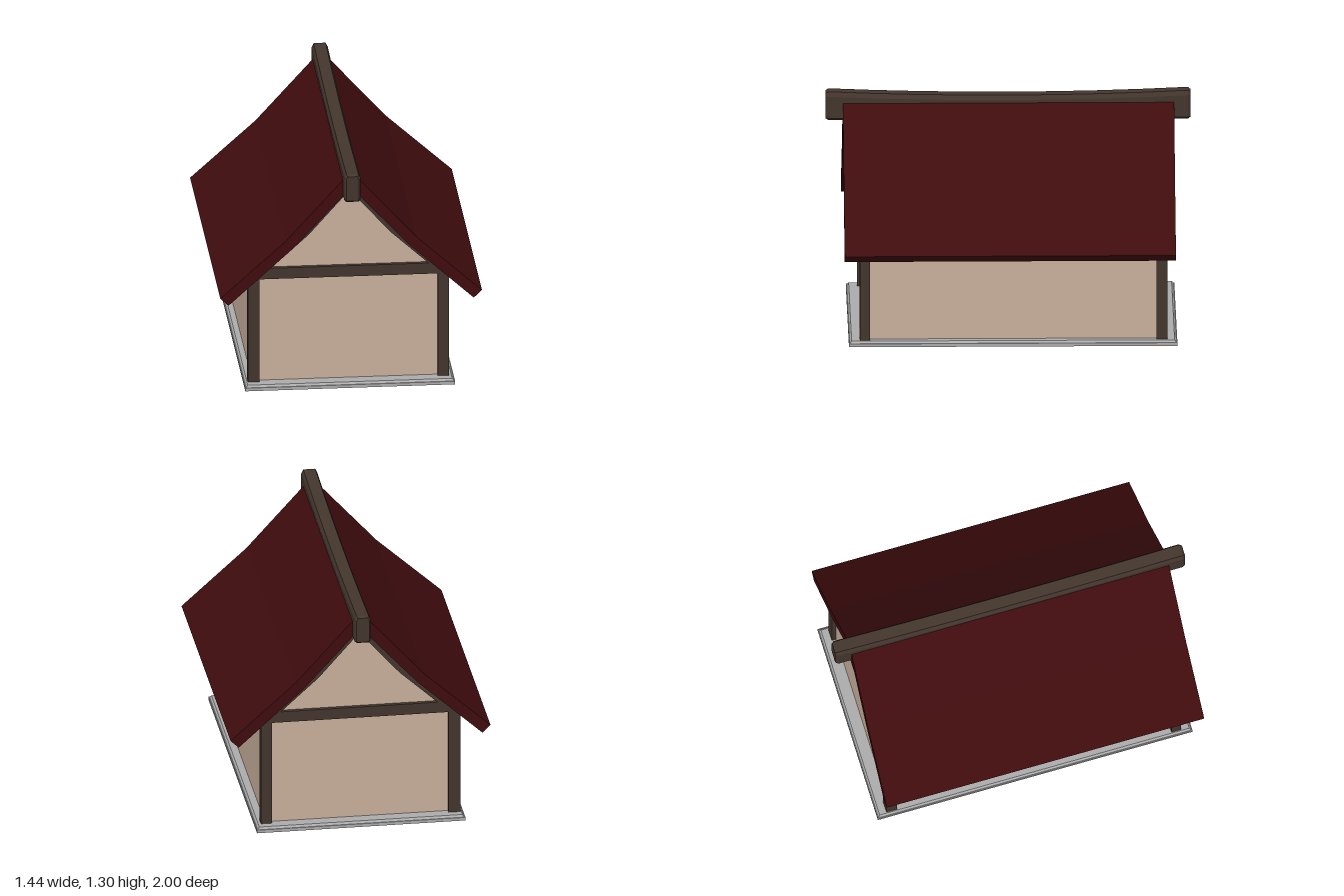
import * as THREE from 'three';

const mat = (name, color) => {
  const m = new THREE.MeshStandardMaterial({ color });
  m.name = name;
  return m;
};

export function createModel() {
  const house = new THREE.Group();
  house.name = 'house';
  const plaster = mat('plaster', 0xc9b09d);
  const timber = mat('dark timber', 0x43362d);
  const roofing = mat('dark red roofing', 0x400c0e);
  const stone = mat('grey stone', 0xacacac);

  const add = (name, geometry, material) => {
    const mesh = new THREE.Mesh(geometry, material);
    mesh.name = name;
    house.add(mesh);
    return mesh;
  };
  // Box given by its limits on each axis
  const box = (name, material, x0, x1, y0, y1, z0, z1) => {
    const g = new THREE.BoxGeometry(x1 - x0, y1 - y0, z1 - z0);
    g.translate((x0 + x1) / 2, (y0 + y1) / 2, (z0 + z1) / 2);
    return add(name, g, material);
  };
  // Front profile swept from z0 to z1
  const sweep = (name, material, points, z0, z1) => {
    const shape = new THREE.Shape(points.map(([x, y]) => new THREE.Vector2(x, y)));
    const g = new THREE.ExtrudeGeometry(shape, { depth: z1 - z0, bevelEnabled: false });
    g.translate(0, 0, z0);
    return add(name, g, material);
  };
  const mirror = (points) => points.map(([x, y]) => [-x, y]).reverse();

  // Stone base: plinth with a sloped upper edge
  box('basePlinth', stone, -0.58, 0.575, 0, 0.018, -0.92, 0.88);
  const top = new THREE.BoxGeometry(1.145, 0.012, 1.79);
  const tp = top.attributes.position;
  for (let i = 0; i < tp.count; i++) {
    if (tp.getY(i) > 0) {
      tp.setX(i, tp.getX(i) - Math.sign(tp.getX(i)) * 0.01);
      tp.setZ(i, tp.getZ(i) - Math.sign(tp.getZ(i)) * 0.01);
    }
  }
  top.computeVertexNormals();
  top.translate(-0.0025, 0.024, -0.02);
  add('baseTop', top, stone);

  // Plastered walls with both gables
  sweep('walls', plaster, [
    [-0.535, 0.02], [0.52, 0.02], [0.52, 0.65], [0.27, 0.87],
    [0, 1.165], [-0.27, 0.87], [-0.535, 0.64],
  ], -0.84, 0.795);

  // Timber frame at each gable end: posts, cross beam and bent rafters
  const rafter = [
    [0, 1.14], [0.225, 0.885], [0.45, 0.68], [0.545, 0.635],
    [0.315, 0.845], [0, 1.19],
  ].reverse();
  for (const [end, z0, z1] of [['front', 0.765, 0.82], ['back', -0.865, -0.805]]) {
    box(end + 'RightPost', timber, -0.56, -0.495, 0.025, 0.66, z0, z1);
    box(end + 'LeftPost', timber, 0.485, 0.545, 0.025, 0.66, z0, z1);
    box(end + 'Beam', timber, -0.55, 0.54, 0.632, 0.695, z0 + 0.002, z1 - 0.002);
    sweep(end + 'LeftRafter', timber, rafter, z0 + 0.004, z1 - 0.004);
    sweep(end + 'RightRafter', timber, mirror(rafter), z0 + 0.004, z1 - 0.004);
  }

  // Roof: two thick slopes, shallower towards the eaves
  const slope = [[0.045, 1.235], [0.36, 0.885], [0.72, 0.56], [0.675, 0.517], [0.315, 0.845]];
  sweep('roof', roofing, [...slope, [0, 1.19], ...mirror(slope)], -0.91, 0.905);

  // Ridge beam: chamfered bar whose top sags towards the middle
  const w = 0.045, c = 0.012, y0 = 1.137, y1 = 1.3;
  const section = new THREE.Shape([
    [-w + c, y0], [w - c, y0], [w, y0 + c], [w, y1 - 0.025],
    [w - c, y1], [-w + c, y1], [-w, y1 - 0.025], [-w, y0 + c],
  ].map(([x, y]) => new THREE.Vector2(x, y)));
  const ridge = new THREE.ExtrudeGeometry(section, {
    depth: 1.97, steps: 8, bevelEnabled: true, bevelSegments: 1,
    bevelSize: 0.01, bevelOffset: -0.01, bevelThickness: 0.015,
  });
  ridge.translate(0, 0, -0.985);
  const rp = ridge.attributes.position;
  for (let i = 0; i < rp.count; i++) {
    if (rp.getY(i) > 1.2) rp.setY(i, rp.getY(i) - 0.024 * (1 - rp.getZ(i) ** 2));
  }
  ridge.computeVertexNormals();
  add('ridgeBeam', ridge, timber);

  return house;
}
